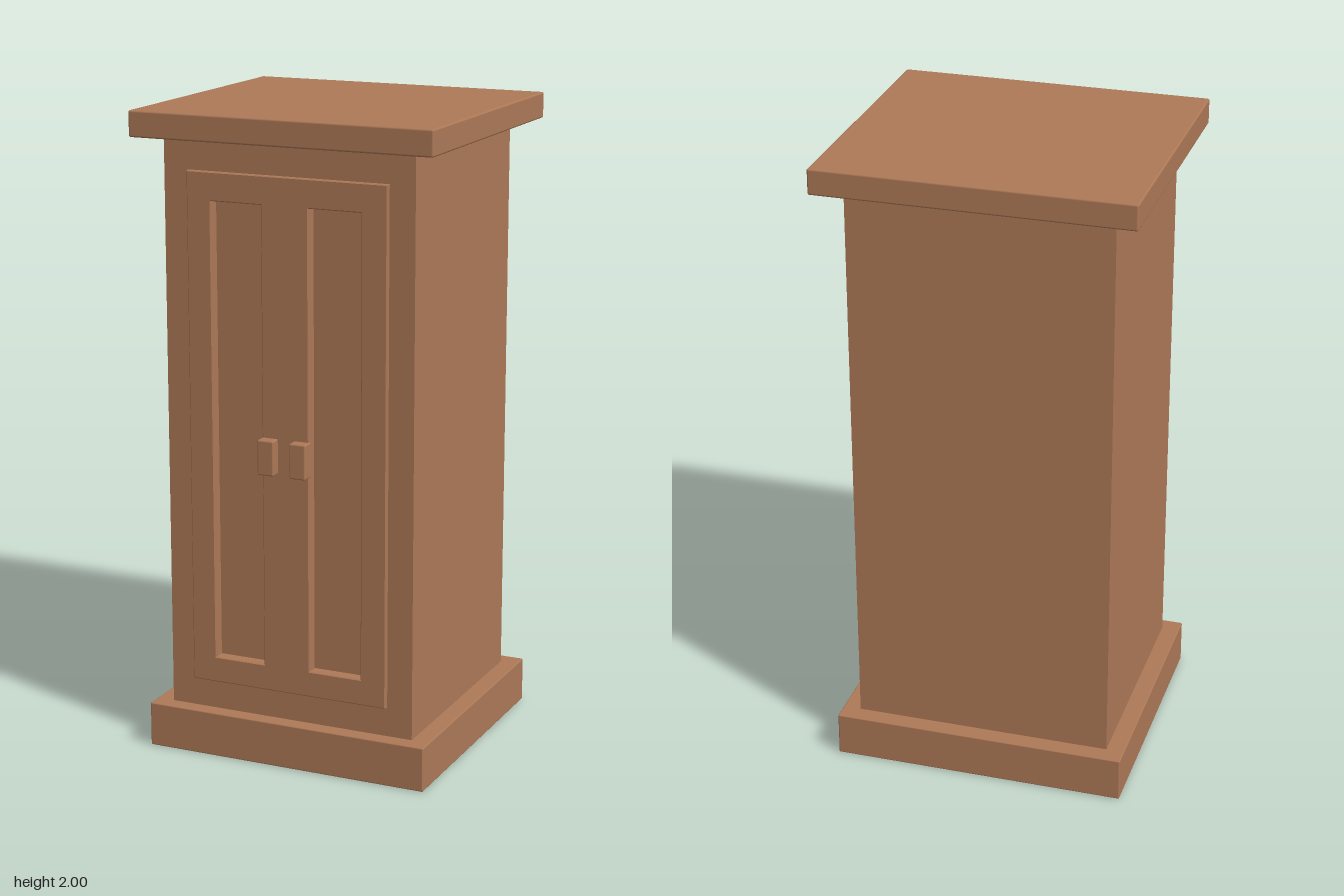
import * as THREE from 'three';
import { RoundedBoxGeometry } from 'three/addons/geometries/RoundedBoxGeometry.js';

const wood = new THREE.MeshStandardMaterial({ color: 0xad7957 });
wood.name = 'warm brown wood';

// Box given by its extents on each axis, with slightly softened edges
function block(name, [x0, x1], [y0, y1], [z0, z1], radius = 0) {
  const size = [x1 - x0, y1 - y0, z1 - z0];
  const geometry = radius
    ? new RoundedBoxGeometry(...size, 2, radius)
    : new THREE.BoxGeometry(...size);
  const mesh = new THREE.Mesh(geometry, wood);
  mesh.name = name;
  mesh.position.set((x0 + x1) / 2, (y0 + y1) / 2, (z0 + z1) / 2);
  return mesh;
}

function rectangle(Type, x0, x1, y0, y1) {
  return new Type([[x0, y0], [x1, y0], [x1, y1], [x0, y1]].map(p => new THREE.Vector2(...p)));
}

// Upright slab with the two tall door panels cut out of it
function panelledSlab(name, halfWidth, y0, y1, z0, z1, bevel) {
  const shape = rectangle(THREE.Shape, -halfWidth, halfWidth, y0, y1);
  for (const [a, b] of [[-0.245, -0.08], [0.073, 0.242]]) {
    shape.holes.push(rectangle(THREE.Path, a, b, 0.313, 1.738));
  }
  const geometry = new THREE.ExtrudeGeometry(shape, {
    depth: z1 - z0 - 2 * bevel,
    bevelEnabled: bevel > 0,
    bevelSize: bevel,
    bevelThickness: bevel,
    bevelOffset: -bevel,
    bevelSegments: 1,
  });
  const mesh = new THREE.Mesh(geometry, wood);
  mesh.name = name;
  mesh.position.z = z0 + bevel;
  return mesh;
}

export function createModel() {
  const cabinet = new THREE.Group();
  cabinet.name = 'cabinet';

  // Plinth, carcass and overhanging top
  cabinet.add(
    block('plinth', [-0.462, 0.462], [0, 0.14], [-0.425, 0.431], 0.004),
    block('carcass', [-0.405, 0.405], [0.13, 1.93], [-0.37, 0.36]),
    block('topBoard', [-0.486, 0.486], [1.92, 2], [-0.45, 0.452], 0.006),
  );

  // Front face and raised doors, both open over the sunken panels
  cabinet.add(
    panelledSlab('frontFace', 0.405, 0.13, 1.93, 0.36, 0.382, 0),
    panelledSlab('doors', 0.324, 0.232, 1.825, 0.378, 0.398, 0.003),
  );

  // Pair of handles
  for (const [name, x] of [['rightHandle', [-0.082, -0.029]], ['leftHandle', [0.023, 0.076]]]) {
    cabinet.add(block(name, x, [0.926, 1.035], [0.385, 0.431], 0.005));
  }
  return cabinet;
}
